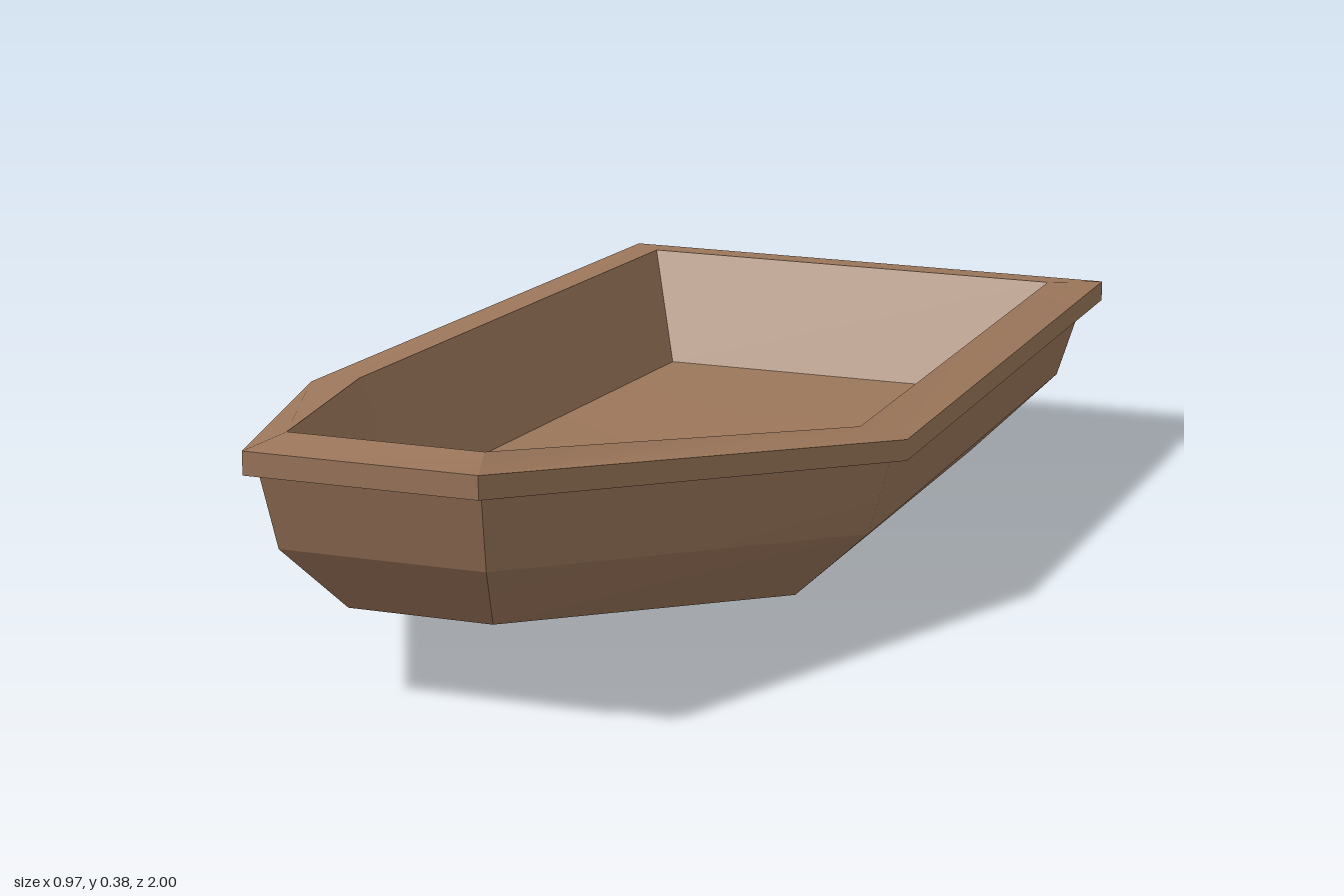
import * as THREE from 'three';
import { toCreasedNormals } from 'three/addons/utils/BufferGeometryUtils.js';

// A six-cornered level of the boat: bow, shoulder and stern points, mirrored in x.
// Corners run counter-clockwise seen from above.
function ring(bow, shoulder, stern) {
  const half = [bow, shoulder, stern];
  const mirrored = half.map(([x, y, z]) => [-x, y, z]).reverse();
  return [...half, ...mirrored];
}

// Facets between successive rings.
function loft(rings) {
  const tris = [];
  for (let r = 0; r < rings.length - 1; r++) {
    const a = rings[r], b = rings[r + 1];
    for (let i = 0; i < 6; i++) {
      const j = (i + 1) % 6;
      tris.push(a[i], a[j], b[j], a[i], b[j], b[i]);
    }
  }
  return tris;
}

// Fills a ring with a sloping bow panel and a level stern panel.
function cap(p, faceUp) {
  const quads = [[0, 1, 4, 5], [1, 2, 3, 4]];
  return quads.flatMap((q) => {
    const [a, b, c, d] = (faceUp ? q : [...q].reverse()).map((i) => p[i]);
    return [a, b, c, a, c, d];
  });
}

// Gentle bends are smooth, the boards' edges stay sharp.
function part(name, tris, material) {
  const geometry = new THREE.BufferGeometry();
  geometry.setAttribute('position', new THREE.Float32BufferAttribute(tris.flat(), 3));
  const mesh = new THREE.Mesh(toCreasedNormals(geometry, 0.3), material);
  mesh.name = name;
  return mesh;
}

export function createModel() {
  const group = new THREE.Group();
  group.name = 'rowingBoat';
  const wood = new THREE.MeshStandardMaterial({ color: 0x9c775b });
  wood.name = 'brown wood';

  // Outside levels, from the bottom up
  const bottom = ring([0.11, 0.112, 0.815], [0.303, 0, 0.15], [0.265, 0, -0.79]);
  const chine = ring([0.155, 0.222, 0.935], [0.424, 0.111, 0.168], [0.37, 0.111, -0.927]);
  const hullTop = ring([0.165, 0.34, 0.972], [0.458, 0.23, 0.17], [0.4, 0.23, -0.967]);

  // Gunwale levels
  const rimLow = ring([0.174, 0.339, 1], [0.484, 0.229, 0.173], [0.424, 0.229, -1]);
  const rimHigh = ring([0.174, 0.373, 1], [0.484, 0.261, 0.173], [0.424, 0.261, -1]);
  const rimInner = ring([0.147, 0.384, 0.92], [0.407, 0.271, 0.162], [0.355, 0.271, -0.913]);

  // Inside floor
  const floor = ring([0.118, 0.191, 0.84], [0.328, 0.099, 0.157], [0.288, 0.097, -0.823]);

  group.add(
    part('hull', [...cap(bottom, false), ...loft([bottom, chine, hullTop])], wood),
    part('gunwale', loft([hullTop, rimLow, rimHigh, rimInner]), wood),
    part('innerWalls', loft([rimInner, floor]), wood),
    part('floor', cap(floor, true), wood),
  );
  return group;
}
